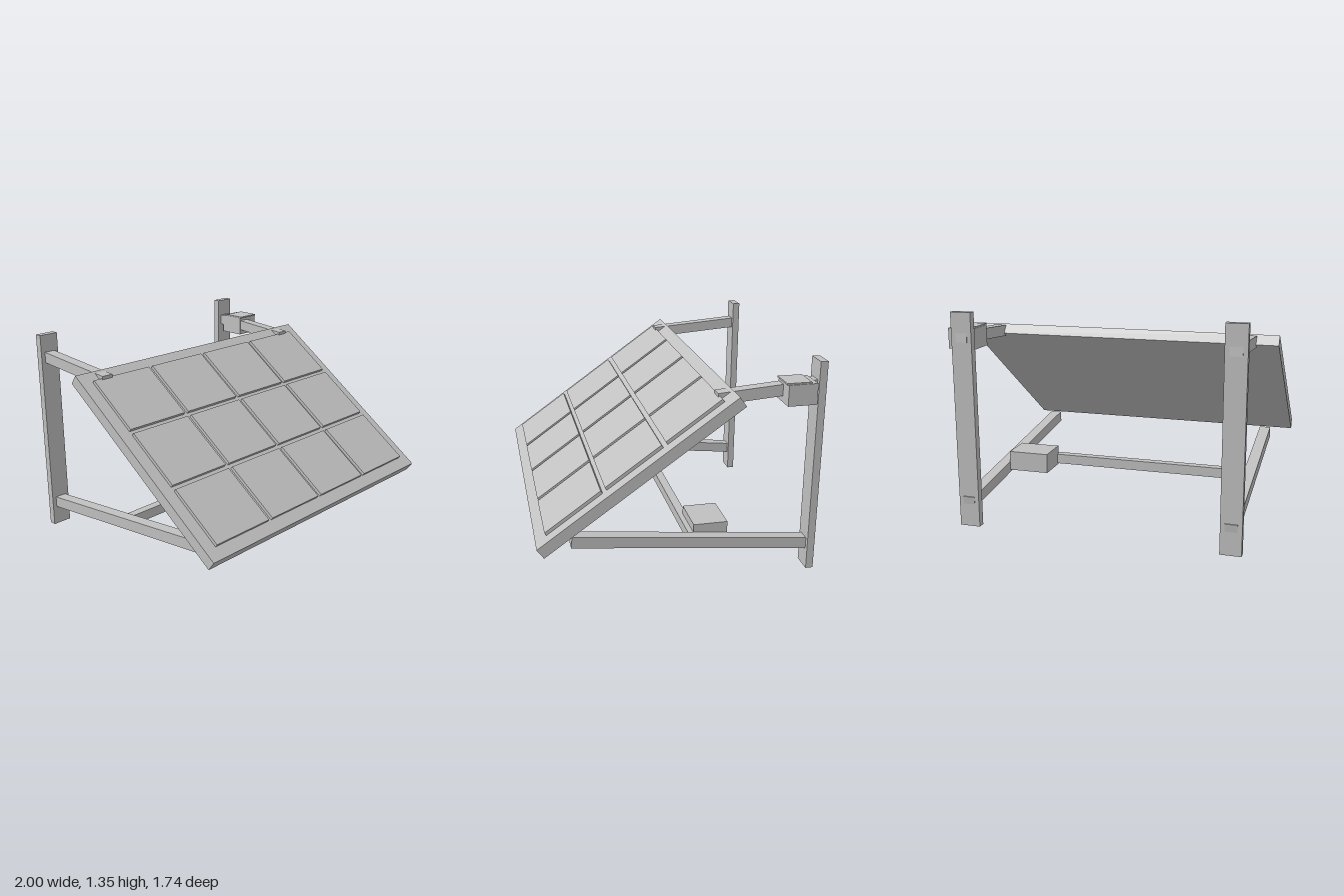
import * as THREE from 'three';

export function createModel() {
  const model = new THREE.Group();
  const grey = new THREE.MeshStandardMaterial({ color: 0xc0c0c0 });
  grey.name = 'light grey';

  function box(name, size, position, parent = model) {
    const mesh = new THREE.Mesh(new THREE.BoxGeometry(...size), grey);
    mesh.name = name;
    mesh.position.set(...position);
    parent.add(mesh);
    return mesh;
  }

  // Square beam between two points of the side plane, each given as [z, y]
  function arm(name, x, [z0, y0], [z1, y1], thickness) {
    const length = Math.hypot(z1 - z0, y1 - y0);
    const beam = box(name, [0.075, thickness, length], [x, (y0 + y1) / 2, (z0 + z1) / 2]);
    beam.rotation.x = -Math.atan2(y1 - y0, z1 - z0);
  }

  // Tilted panel with a 4 x 3 field of raised cells
  const panel = new THREE.Group();
  panel.name = 'panel';
  panel.position.set(0, 0.764, 0.264);
  panel.rotation.x = THREE.MathUtils.degToRad(35.2);
  model.add(panel);
  const length = 1.43, thick = 0.07, margin = 0.08, gap = 0.03;
  box('panelSlab', [2, thick, length], [0, 0, 0], panel);
  const cellW = (2 - 2 * margin - 3 * gap) / 4;
  const cellL = (length - 2 * margin - 2 * gap) / 3;
  for (let col = 0; col < 4; col++) {
    for (let row = 0; row < 3; row++) {
      box('panelCell', [cellW, 0.03, cellL],
        [(col - 1.5) * (cellW + gap), thick / 2 + 0.005, (row - 1) * (cellL + gap)], panel);
    }
  }

  // Mirrored posts with their upper and lower arms
  for (const side of [-1, 1]) {
    const x = side * 0.825;
    box('post', [0.13, 1.35, 0.047], [x, 0.675, -0.838]);
    arm('upperArm', x, [-0.863, 1.203], [-0.215, 1.155], 0.07);
    arm('lowerArm', x, [-0.863, 0.158], [0.655, 0.332], 0.072);
  }

  // Bar joining the lower arms, with its equipment box
  box('crossBar', [1.65, 0.065, 0.055], [0, 0.243, -0.1]);
  box('lowerBox', [0.27, 0.13, 0.215], [0.653, 0.265, -0.2125]);

  // Small box with a thin lid on the left upper arm
  box('upperBox', [0.17, 0.128, 0.177], [0.867, 1.176, -0.693]);
  box('upperBoxLid', [0.16, 0.01, 0.15], [0.865, 1.244, -0.67]);

  return model;
}
